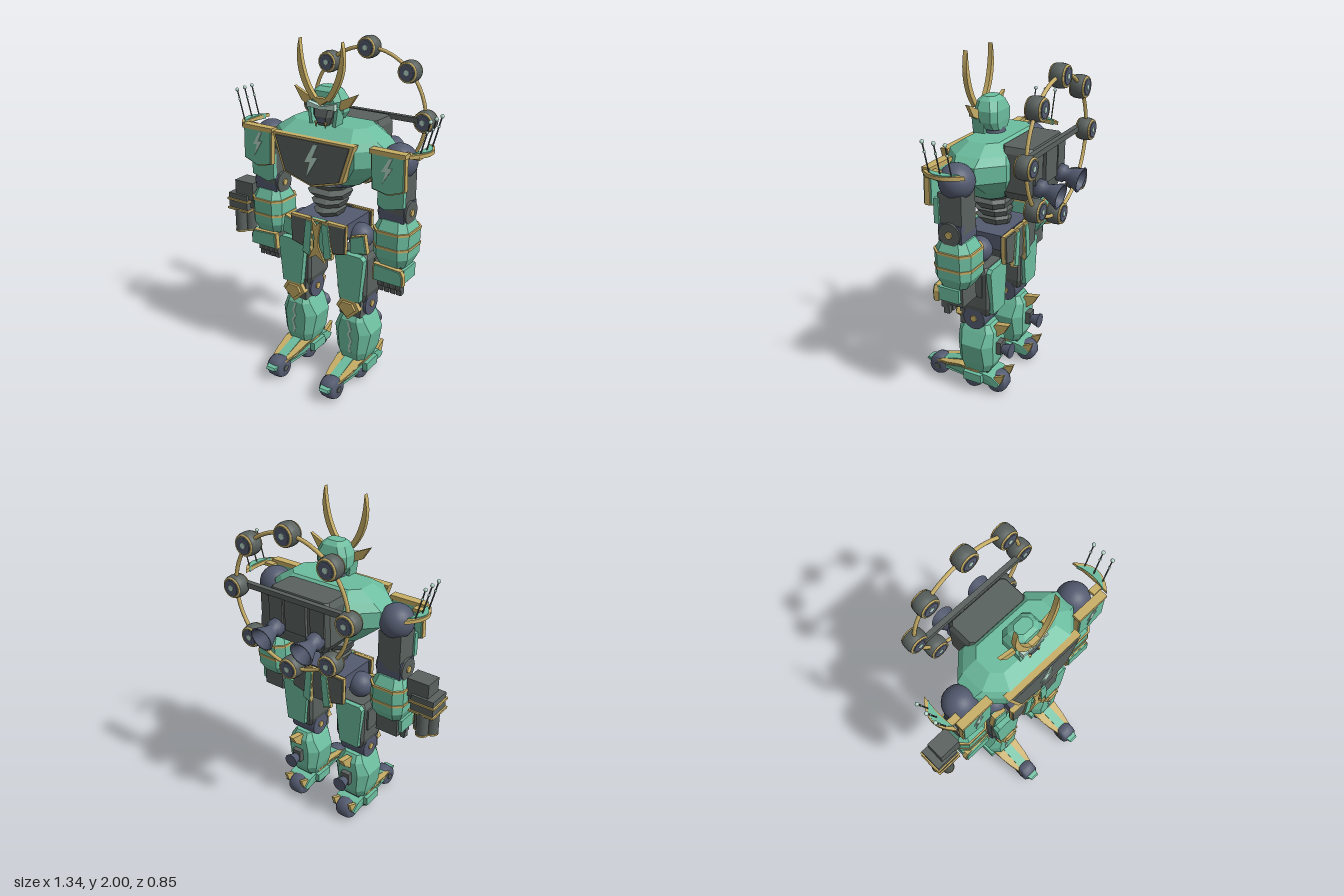
import * as THREE from 'three';

const M = {};
for (const [name, color] of Object.entries({
  mintGreen: 0x6cbd9f, darkGrey: 0x59615e, slateBlue: 0x545b70, gold: 0xc8ae66, paleMint: 0xb6d8ca,
})) M[name] = Object.assign(new THREE.MeshStandardMaterial({ color }), { name });
const { mintGreen: green, darkGrey: dark, slateBlue: navy, gold, paleMint: pale } = M;

function add(parent, name, geo, mat, x = 0, y = 0, z = 0, rx = 0, ry = 0, rz = 0) {
  const m = new THREE.Mesh(geo, mat);
  m.name = name;
  m.position.set(x, y, z);
  m.rotation.set(rx, ry, rz);
  parent.add(m);
  return m;
}
const group = (parent, name, x = 0, y = 0, z = 0) => {
  const g = new THREE.Group();
  g.name = name;
  g.position.set(x, y, z);
  parent.add(g);
  return g;
};
const box = (w, h, d) => new THREE.BoxGeometry(w, h, d);
const cyl = (r1, r2, h, n = 16) => new THREE.CylinderGeometry(r1, r2, h, n);

// Chamfered-rectangle rings [y, halfWidth, zBack, zFront, chamfer], bottom to top
function loft(rings) {
  const pos = [], idx = [];
  for (const [y, h, b, f, c] of rings) {
    for (const [x, z] of [[h, b + c], [h, f - c], [h - c, f], [c - h, f], [-h, f - c], [-h, b + c], [c - h, b], [h - c, b]]) pos.push(x, y, z);
  }
  for (let r = 0; r < rings.length - 1; r++) {
    for (let i = 0; i < 8; i++) {
      const a = r * 8 + i, b = r * 8 + (i + 1) % 8;
      idx.push(a, a + 8, b, b, a + 8, b + 8);
    }
  }
  const t = (rings.length - 1) * 8;
  for (let i = 1; i < 7; i++) idx.push(0, i, i + 1, t, t + i + 1, t + i);
  // Orientation: rings run from +x towards +z, so flip to face outwards
  for (let i = 0; i < idx.length - 36; i += 3) [idx[i + 1], idx[i + 2]] = [idx[i + 1], idx[i + 2]];
  const g = new THREE.BufferGeometry();
  g.setAttribute('position', new THREE.Float32BufferAttribute(pos, 3));
  g.setIndex(idx);
  const flat = g.toNonIndexed();
  flat.computeVertexNormals();
  return flat;
}

const shape = (pts, s = 1) => new THREE.Shape(pts.map(([x, y]) => new THREE.Vector2(x * s, y)));
const plate = (pts, depth, s = 1) => new THREE.ExtrudeGeometry(shape(pts, s), { depth, bevelEnabled: false });
// Profile given as [z, y], extruded across x
const sidePlate = (pts, w) => plate(pts, w).translate(0, 0, -w / 2).rotateY(-Math.PI / 2);
// Plate with a gold rim showing around a slightly raised inset
function framed(parent, name, pts, mat, z, depth, s = 1, k = 0.9) {
  const cx = pts.reduce((a, p) => a + p[0], 0) / pts.length, cy = pts.reduce((a, p) => a + p[1], 0) / pts.length;
  const inset = pts.map(([x, y]) => [cx + (x - cx) * k, cy + (y - cy) * k]);
  add(parent, name + 'Rim', plate(pts, depth, s), gold, 0, 0, z);
  add(parent, name, plate(inset, depth + 0.016, s), mat, 0, 0, z - 0.008);
}
const boltPts = [[0.02, 0.095], [-0.04, -0.01], [-0.005, -0.005], [-0.03, -0.095], [0.045, 0.025], [0.01, 0.02], [0.045, 0.095]];
const barrel = (r, w, n = 20) => new THREE.LatheGeometry(
  [[0, -0.5], [0.8, -0.5], [0.96, -0.32], [1, 0], [0.96, 0.32], [0.8, 0.5], [0, 0.5]].map(([a, b]) => new THREE.Vector2(a * r, b * w)), n);

function torso(body) {
  const t = group(body, 'torso');
  add(t, 'chest', loft([[1.235, 0.2, -0.08, 0.13, 0.05], [1.3, 0.28, -0.13, 0.19, 0.08], [1.37, 0.365, -0.156, 0.205, 0.12],
    [1.46, 0.365, -0.156, 0.205, 0.12], [1.5, 0.32, -0.14, 0.2, 0.1], [1.555, 0.235, -0.08, 0.12, 0.05]]), green);
  add(t, 'chestUnderside', loft([[1.215, 0.16, -0.06, 0.13, 0.05], [1.237, 0.19, -0.075, 0.125, 0.05]]), navy);
  const chestPts = [[-0.26, 1.5], [0.26, 1.5], [0.19, 1.285], [0, 1.23], [-0.19, 1.285]];
  framed(t, 'chestPlate', chestPts, dark, 0.19, 0.045, 1, 0.91);
  add(t, 'chestBolt', plate(boltPts, 0.006), pale, 0, 1.38, 0.242);
  for (let i = 0; i < 4; i++) {
    const h = [0.075, 0.09, 0.115, 0.105][i], y = 1.02 + i * 0.054;
    add(t, 'waistSegment', loft([[y, h - 0.015, -0.04, 0.13, 0.05], [y + 0.035, h, -0.05, 0.165, 0.05], [y + 0.054, h - 0.02, -0.04, 0.13, 0.05]]), dark);
  }
  // Backpack with panels and two nozzles
  add(t, 'backpack', loft([[1.25, 0.17, -0.27, -0.1, 0.02], [1.3, 0.205, -0.28, -0.1, 0.02], [1.51, 0.205, -0.285, -0.1, 0.02], [1.545, 0.19, -0.27, -0.1, 0.02]]), dark);
  add(t, 'backpackPanel', box(0.14, 0.18, 0.02), dark, 0, 1.42, -0.29);
  for (const s of [-1, 1]) {
    add(t, 'backpackSidePanel', box(0.09, 0.15, 0.016), dark, s * 0.14, 1.43, -0.286);
    const nozzle = new THREE.LatheGeometry([[0, 0], [0.05, 0], [0.05, 0.04], [0.035, 0.05], [0.045, 0.08], [0.073, 0.14], [0.06, 0.14], [0.03, 0.07], [0, 0.07]].map((p) => new THREE.Vector2(...p)), 20);
    add(t, 'nozzle', nozzle, navy, s * 0.135, 1.33, -0.28, -Math.PI / 2 - 0.2);
  }
}

function drumRing(body) {
  const g = group(body, 'drumRing', 0, 1.52, -0.335);
  add(g, 'hoop', new THREE.TorusGeometry(0.375, 0.011, 8, 64), gold);
  add(g, 'ringBar', box(0.7, 0.03, 0.03), dark, 0, 0.01, 0.035);
  for (let i = 0; i < 8; i++) {
    const a = i * Math.PI / 4, d = group(g, 'drum', 0.375 * Math.cos(a), 0.375 * Math.sin(a), 0);
    add(d, 'drumBarrel', barrel(0.065, 0.084), dark, 0, 0, 0, Math.PI / 2);
    for (const s of [-1, 1]) {
      add(d, 'drumRim', new THREE.TorusGeometry(0.053, 0.006, 6, 24), gold, 0, 0, s * 0.037);
      add(d, 'drumSkin', cyl(0.042, 0.042, 0.006), navy, 0, 0, s * 0.042, Math.PI / 2);
      add(d, 'drumCentre', cyl(0.017, 0.017, 0.006, 6), pale, 0, 0, s * 0.045, Math.PI / 2);
    }
  }
}

function head(body) {
  const h = group(body, 'head');
  add(h, 'neck', cyl(0.055, 0.07, 0.06, 12), navy, 0, 1.56, 0.05);
  add(h, 'helmet', loft([[1.575, 0.07, -0.005, 0.09, 0.02], [1.62, 0.1, -0.01, 0.11, 0.03], [1.68, 0.1, -0.01, 0.13, 0.03],
    [1.73, 0.075, 0.005, 0.125, 0.03], [1.752, 0.05, 0.03, 0.1, 0.02]]), green);
  add(h, 'faceMask', loft([[1.55, 0.035, 0.08, 0.14, 0.015], [1.6, 0.06, 0.07, 0.155, 0.025], [1.655, 0.065, 0.07, 0.14, 0.02]]), dark);
  add(h, 'mouth', box(0.05, 0.025, 0.01), navy, 0, 1.578, 0.148);
  for (const s of [-1, 1]) {
    add(h, 'brow', plate([[0, 1.655], [0.085, 1.675], [0.09, 1.64], [0.07, 1.645], [0, 1.638]], 0.03, s), pale, 0, 0, 0.125);
    add(h, 'fang', new THREE.ConeGeometry(0.009, 0.035, 6), gold, s * 0.03, 1.555, 0.15, Math.PI);
    add(h, 'cheekGuard', box(0.02, 0.1, 0.07), green, s * 0.08, 1.6, 0.1, 0, 0, s * -0.15);
    add(h, 'sideCrest', plate([[0.2, 1.735], [0.1, 1.69], [0.085, 1.63], [0.15, 1.66]], 0.02, s), gold, 0, 0, 0.09);
    const horn = new THREE.Shape();
    horn.moveTo(s * 0.03, 1.7);
    horn.quadraticCurveTo(s * 0.12, 1.8, s * 0.13, 2);
    horn.quadraticCurveTo(s * 0.18, 1.83, s * 0.055, 1.685);
    add(h, 'horn', new THREE.ExtrudeGeometry(horn, { depth: 0.026, bevelEnabled: false, curveSegments: 12 }), gold, 0, 0, 0.13);
  }
  add(h, 'hornBase', plate([[-0.06, 1.7], [0.06, 1.7], [0, 1.66]], 0.03), gold, 0, 0, 0.125);
}

function hips(body) {
  const p = group(body, 'hips');
  add(p, 'pelvis', box(0.34, 0.09, 0.25), navy, 0, 0.97, 0.04);
  add(p, 'pelvisCore', loft([[0.8, 0.05, -0.03, 0.11, 0.02], [0.93, 0.1, -0.07, 0.15, 0.02]]), dark);
  for (const f of [-1, 1]) {
    const z = f > 0 ? 0.16 : -0.115, out = f > 0 ? 0.192 : -0.12;
    add(p, 'beltTrim', box(0.36, 0.012, 0.012), gold, 0, 1.015, f > 0 ? 0.185 : -0.11);
    for (const s of [-1, 1]) {
      framed(p, 'skirtPanel', [[0.06, 1.02], [0.185, 1.02], [0.18, 0.85], [0.1, 0.83]], dark, z, 0.022, s, 0.92);
      framed(p, 'innerFlap', [[0.03, 1.015], [0.075, 1.015], [0.1, 0.8], [0.05, 0.78]], green, z + f * 0.01, 0.022, s, 0.9);
    }
    add(p, 'centreFlap', plate([[-0.045, 1.02], [0.045, 1.02], [0.035, 0.82], [-0.035, 0.82]], 0.02), f > 0 ? green : dark, 0, 0, z);
    if (f > 0) add(p, 'goldFork', plate([[-0.03, 1.02], [0, 0.99], [0.03, 1.02], [0.014, 0.92], [0.015, 0.86], [0.058, 0.77], [0, 0.81], [-0.058, 0.77], [-0.015, 0.86], [-0.014, 0.92]], 0.012), gold, 0, 0, out);
  }
  for (const s of [-1, 1]) {
    add(p, 'hipBall', new THREE.SphereGeometry(0.075, 20, 14), navy, s * 0.195, 0.92, 0.04);
    framed(p, 'hipGuard', [[0.18, 0.94], [0.27, 0.97], [0.29, 0.86], [0.18, 0.84]], green, 0.1, 0.03, s);
  }
}

function leg(body, s) {
  const l = group(body, s > 0 ? 'leftLeg' : 'rightLeg', s * 0.19, 0, 0);
  add(l, 'thigh', loft([[0.54, 0.075, -0.05, 0.12, 0.015], [0.6, 0.098, -0.065, 0.135, 0.015], [0.82, 0.1, -0.065, 0.135, 0.015], [0.85, 0.085, -0.05, 0.12, 0.015]]), dark);
  add(l, 'thighSideBlock', box(0.02, 0.13, 0.08), dark, s * 0.1, 0.74, 0.01);
  const thighPts = [[-0.085, 0.83], [-0.07, 0.85], [0.08, 0.85], [0.1, 0.83], [0.075, 0.565], [-0.055, 0.565]];
  add(l, 'thighFrontPlate', plate(thighPts, 0.04, s), green, 0, 0, 0.13);
  add(l, 'thighRearPlate', plate(thighPts, 0.03, s), green, 0, 0, -0.085);
  // Knee
  add(l, 'kneeJoint', cyl(0.07, 0.07, 0.17, 20), navy, 0, 0.51, 0.04, 0, 0, Math.PI / 2);
  add(l, 'kneeHub', cyl(0.02, 0.02, 0.185, 10), gold, 0, 0.51, 0.04, 0, 0, Math.PI / 2);
  add(l, 'kneeBlock', box(0.14, 0.14, 0.1), dark, 0, 0.52, 0.09);
  const knee = [[-0.045, 0.565], [0.045, 0.565], [0.078, 0.51], [0, 0.435], [-0.078, 0.51]];
  add(l, 'kneeCap', plate(knee, 0.035), gold, 0, 0, 0.13);
  add(l, 'kneeCapRidge', plate(knee.map(([x, y]) => [x * 0.7, 0.51 + (y - 0.51) * 0.7]), 0.015), gold, 0, 0, 0.165);
  // Shin with its pale crack, fin and small thruster
  add(l, 'shin', loft([[0.15, 0.08, -0.04, 0.135, 0.03], [0.21, 0.1, -0.07, 0.155, 0.04], [0.34, 0.122, -0.075, 0.155, 0.05], [0.42, 0.085, -0.07, 0.155, 0.035], [0.465, 0.06, -0.04, 0.13, 0.02]]), green);
  const crack = [[-0.01, 0.42], [0.008, 0.36], [-0.006, 0.33], [0.014, 0.29], [0, 0.25], [0.006, 0.21]];
  add(l, 'shinCrack', plate([...crack, ...crack.map(([x, y]) => [x + 0.014, y]).reverse()], 0.005, s), pale, 0, 0, 0.153);
  add(l, 'calfFin', sidePlate([[-0.03, 0.41], [-0.06, 0.46], [-0.15, 0.475], [-0.12, 0.42], [-0.07, 0.38]], 0.035), gold);
  add(l, 'calfMount', box(0.06, 0.08, 0.04), dark, 0, 0.31, -0.085);
  add(l, 'calfThruster', cyl(0.045, 0.025, 0.06), navy, 0, 0.3, -0.13, -Math.PI / 2);
  // Foot tapering to the toe, on three rollers
  const foot = sidePlate([[-0.12, 0.09], [-0.07, 0.13], [0.02, 0.145], [0.15, 0.15], [0.25, 0.125], [0.34, 0.108], [0.41, 0.098], [0.42, 0.085], [0.38, 0.068], [-0.1, 0.065]], 0.16);
  const trim = sidePlate([[0.02, 0.135], [0.02, 0.152], [0.15, 0.157], [0.25, 0.132], [0.34, 0.114], [0.34, 0.1], [0.25, 0.115], [0.15, 0.14]], 0.164);
  for (const g of [foot, trim]) {
    const p = g.attributes.position;
    for (let i = 0; i < p.count; i++) p.setX(i, p.getX(i) * Math.min(1, 1 - (p.getZ(i) - 0.2) * 3));
    g.computeVertexNormals();
  }
  add(l, 'foot', foot, green);
  add(l, 'footTrim', trim, gold);
  add(l, 'footRidge', sidePlate([[0.1, 0.15], [0.15, 0.165], [0.3, 0.122], [0.3, 0.1], [0.1, 0.13]], 0.06), green);
  add(l, 'ankle', box(0.11, 0.06, 0.14), navy, 0, 0.15, 0.04);
  for (const [z, w] of [[0.33, 0.1], [0.075, 0.13], [-0.075, 0.1]]) {
    add(l, 'roller', barrel(0.066, w), navy, 0, 0.068, z, 0, 0, Math.PI / 2);
    add(l, 'rollerHub', cyl(0.02, 0.02, w + 0.01, 10), dark, 0, 0.068, z, 0, 0, Math.PI / 2);
  }
  for (const t of [-1, 1]) {
    add(l, 'anklePod', box(0.03, 0.055, 0.12), green, t * 0.09, 0.11, 0.05);
    add(l, 'heelSpur', sidePlate([[-0.05, 0.09], [-0.08, 0.13], [-0.145, 0.16], [-0.125, 0.1], [-0.1, 0.075]], 0.02), gold, t * 0.06);
  }
}

function arm(body, s) {
  const a = group(body, s > 0 ? 'leftArm' : 'rightArm', s * 0.42, 0, 0);
  add(a, 'shoulderBall', new THREE.SphereGeometry(0.097, 24, 16), navy, 0, 1.4, 0.035);
  add(a, 'upperArm', box(0.14, 0.22, 0.14), dark, 0, 1.24, 0.04);
  add(a, 'upperArmPlate', plate([[-0.075, 1.32], [0.08, 1.32], [0.08, 1.18], [-0.03, 1.15], [-0.075, 1.17]], 0.03, s), green, 0, 0, 0.1);
  framed(a, 'shoulderPlate', [[-0.1, 1.48], [0.1, 1.485], [0.105, 1.285], [0.01, 1.25], [-0.09, 1.27]], green, 0.135, 0.03, s, 0.93);
  add(a, 'shoulderBolt', plate(boltPts.map(([x, y]) => [x * 0.75, y * 0.75]), 0.005), pale, 0, 1.385, 0.172);
  add(a, 'shoulderPlateTop', box(0.21, 0.025, 0.05), gold, 0, 1.475, 0.15);
  // Crescent with three antennae
  const crescent = (k) => {
    const c = new THREE.Shape();
    c.moveTo(s * 0.12, -0.125 * k);
    c.quadraticCurveTo(s * (0.19 + 0.055 * k), 0, s * 0.12, 0.125 * k);
    c.quadraticCurveTo(s * (0.19 - 0.055 * k), 0, s * 0.12, -0.125 * k);
    return c;
  };
  for (const [k, d, m] of [[1, 0.02, gold], [0.75, 0.03, green]])
    add(a, 'crescent', new THREE.ExtrudeGeometry(crescent(k), { depth: d, bevelEnabled: false }), m, 0, 1.475 + d / 2, 0.035, Math.PI / 2);
  add(a, 'crescentBracket', box(0.09, 0.02, 0.04), gold, s * 0.11, 1.465, 0.1);
  for (const z of [-0.03, 0.035, 0.1]) {
    const from = new THREE.Vector3(s * 0.145, 1.47, z), to = new THREE.Vector3(s * 0.195, 1.655, z);
    add(a, 'antenna', new THREE.TubeGeometry(new THREE.LineCurve3(from, to), 1, 0.004, 6), dark);
    add(a, 'antennaTip', new THREE.SphereGeometry(0.011, 10, 8), pale, to.x, to.y, to.z);
    add(a, 'antennaBead', new THREE.SphereGeometry(0.008, 8, 6), pale, s * 0.18, 1.6, z);
  }
  // Elbow and banded forearm
  add(a, 'elbowBlock', box(0.15, 0.1, 0.14), navy, 0, 1.135, 0.04);
  add(a, 'elbowJoint', cyl(0.065, 0.065, 0.17, 20), dark, 0, 1.13, 0.04, 0, 0, Math.PI / 2);
  add(a, 'elbowHub', cyl(0.02, 0.02, 0.185, 10), gold, 0, 1.13, 0.04, 0, 0, Math.PI / 2);
  add(a, 'forearm', loft([[0.82, 0.08, -0.04, 0.115, 0.03], [0.88, 0.105, -0.075, 0.145, 0.04], [1.02, 0.108, -0.078, 0.148, 0.045], [1.09, 0.078, -0.04, 0.115, 0.03]]), green);
  for (const y of [0.93, 1.02]) add(a, 'forearmBand', loft([[y, 0.111, -0.081, 0.151, 0.045], [y + 0.014, 0.111, -0.081, 0.151, 0.045]]), gold);
  // Hand under a wrist guard
  add(a, 'palm', box(0.14, 0.12, 0.13), dark, 0, 0.77, 0.04);
  framed(a, 'wristGuard', [[-0.085, 0.83], [0.085, 0.82], [0.1, 0.79], [0.1, 0.73], [-0.09, 0.73]], green, 0.11, 0.03, s);
  add(a, 'wristSideGuard', box(0.02, 0.08, 0.13), green, s * 0.085, 0.78, 0.05);
  for (let i = 0; i < 4; i++) {
    add(a, 'finger', box(0.03, 0.05, 0.04), dark, (i - 1.5) * 0.038, 0.71, 0.09);
    add(a, 'fingertip', box(0.028, 0.045, 0.035), dark, (i - 1.5) * 0.038, 0.672, 0.08);
  }
  add(a, 'thumb', box(0.03, 0.07, 0.03), dark, -s * 0.075, 0.72, 0.03);
}

// Multi-barrel launcher on the right forearm
function launcher(body) {
  const g = group(body, 'launcher', -0.625, 0, 0.058);
  add(g, 'launcherArm', box(0.12, 0.07, 0.08), dark, 0.08, 0.97, 0);
  add(g, 'launcherTop', box(0.135, 0.11, 0.11), dark, 0.035, 1.045, 0);
  add(g, 'launcherBody', box(0.14, 0.1, 0.14), dark, -0.005, 0.965, 0);
  for (const y of [0.975, 0.915]) add(g, 'launcherTrim', box(0.158, 0.012, 0.156), gold, -0.005, y, 0);
  for (const [x, z] of [[-0.043, 0], [0.035, 0], [-0.005, 0.045], [-0.005, -0.045]]) {
    add(g, 'launcherBarrel', cyl(0.036, 0.036, 0.15), dark, x, 0.845, z);
    add(g, 'barrelRim', cyl(0.038, 0.038, 0.01), gold, x, 0.775, z);
    add(g, 'barrelBore', cyl(0.026, 0.026, 0.008), navy, x, 0.768, z);
  }
}

export function createModel() {
  const root = new THREE.Group();
  root.name = 'robotWarrior';
  const body = group(root, 'body', 0.038, 0, 0);
  torso(body);
  drumRing(body);
  head(body);
  hips(body);
  for (const s of [-1, 1]) {
    leg(body, s);
    arm(body, s);
  }
  launcher(body);
  return root;
}
